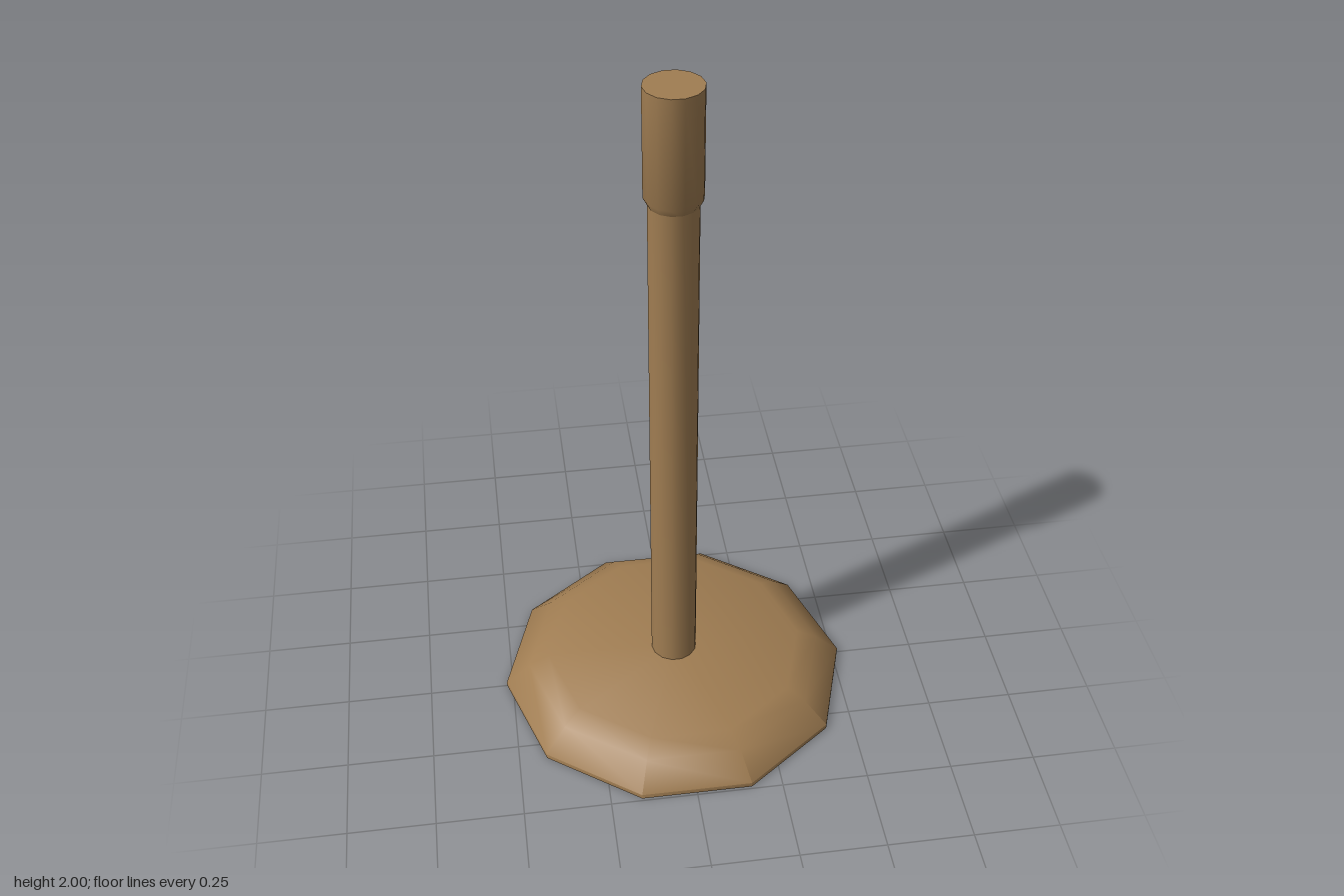
import * as THREE from 'three';
import { toCreasedNormals } from 'three/addons/utils/BufferGeometryUtils.js';

const material = new THREE.MeshStandardMaterial({ color: 0xa07d52 });

// Turned part: profile of [radius, y] from bottom to top, corners on the x axis
function turned(name, profile, sides) {
  const points = profile.map(([r, y]) => new THREE.Vector2(r, y));
  const geometry = new THREE.LatheGeometry(points, sides, Math.PI / 2);
  const mesh = new THREE.Mesh(toCreasedNormals(geometry, 0.9), material);
  mesh.name = name;
  return mesh;
}

export function createModel() {
  const group = new THREE.Group();
  group.name = 'postStand';

  // Ten-sided foot with a two-step bevel
  group.add(turned('base', [
    [0, 0], [0.518, 0], [0.518, 0.015], [0.445, 0.08], [0.385, 0.11], [0, 0.11],
  ], 10));

  // Slim pole, rising from the foot into the sleeve
  group.add(turned('pole', [[0.068, 0.1], [0.068, 1.7]], 14));

  // Wider sleeve with a bevelled lower rim and a flat closed top
  group.add(turned('topSleeve', [
    [0.066, 1.67], [0.079, 1.695], [0.079, 2], [0, 2],
  ], 14));

  return group;
}
